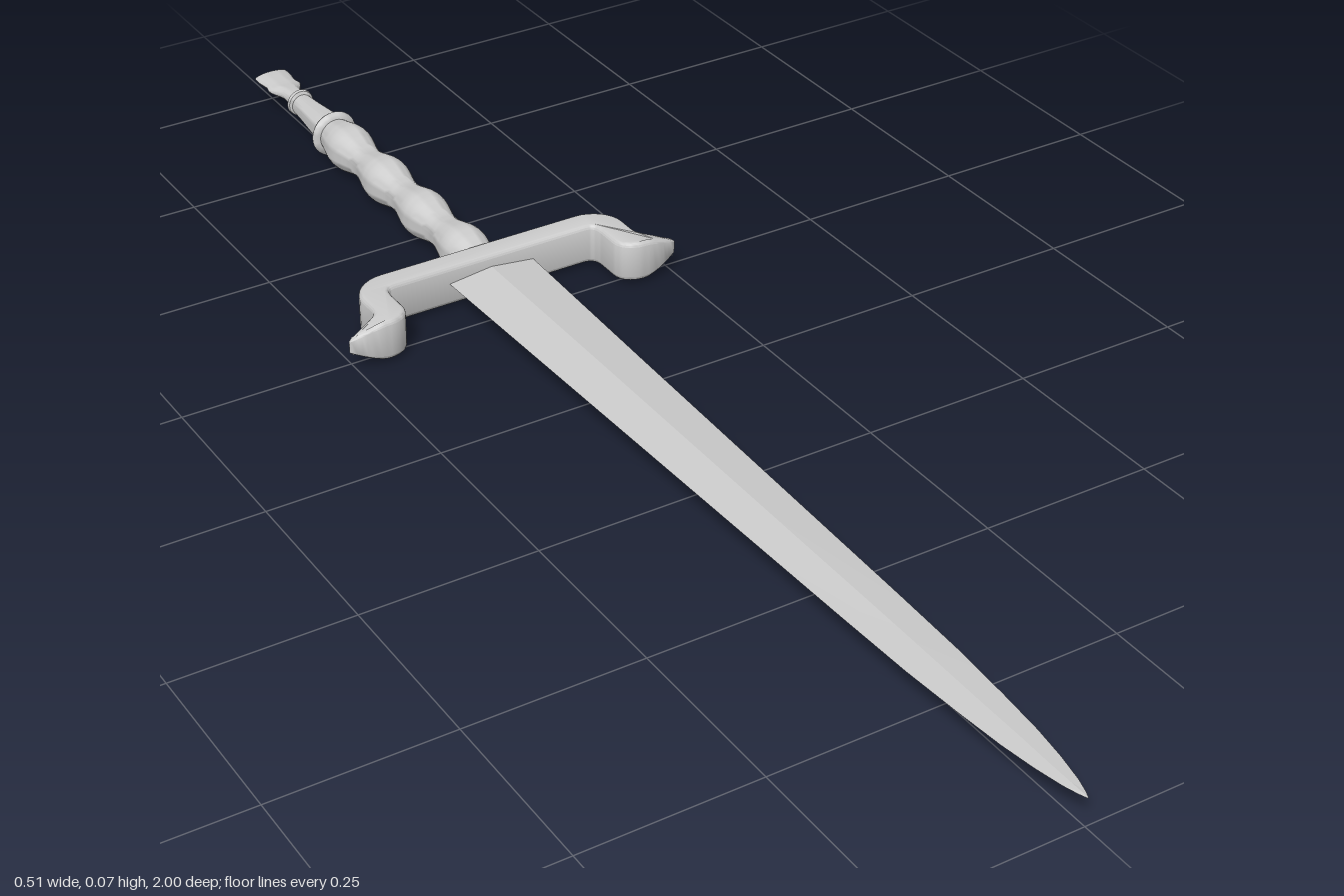
import * as THREE from 'three';
import { toCreasedNormals } from 'three/addons/utils/BufferGeometryUtils.js';

const grey = new THREE.MeshStandardMaterial({ color: 0xcccccc });
const AXIS_Y = 0.037;

function part(name, geometry, y = 0) {
  const mesh = new THREE.Mesh(geometry, grey);
  mesh.name = name;
  mesh.position.y = y;
  return mesh;
}

// Skin over rings running towards +z, each counter-clockwise seen from +z.
function loft(rings, crease) {
  const pos = [];
  const tri = (a, b, c) => pos.push(...a, ...b, ...c);
  const n = rings[0].length;
  for (let i = 0; i < rings.length - 1; i++) {
    for (let j = 0; j < n; j++) {
      const k = (j + 1) % n;
      const [a, b, c, d] = [rings[i][j], rings[i][k], rings[i + 1][j], rings[i + 1][k]];
      tri(a, b, c);
      tri(b, d, c);
    }
  }
  const last = rings[rings.length - 1];
  for (let j = 1; j < n - 1; j++) {
    tri(rings[0][0], rings[0][j + 1], rings[0][j]);
    tri(last[0], last[j], last[j + 1]);
  }
  const g = new THREE.BufferGeometry();
  g.setAttribute('position', new THREE.Float32BufferAttribute(pos, 3));
  g.computeVertexNormals();
  return toCreasedNormals(g, crease);
}

// Diamond-section blade, with the deeper ridge underneath
function blade() {
  const stations = [ // z, half width, top y, bottom y
    [-0.32, 0.067, 0.048, 0.018], [0, 0.058, 0.048, 0.023], [0.3, 0.05, 0.047, 0.029],
    [0.6, 0.042, 0.046, 0.034], [0.72, 0.038, 0.045, 0.036], [0.81, 0.032, 0.044, 0.038],
    [0.88, 0.026, 0.044, 0.039], [0.93, 0.019, 0.043, 0.04], [0.97, 0.011, 0.043, 0.041],
    [0.99, 0.005, 0.043, 0.041], [1, 0.001, 0.042, 0.041],
  ];
  return loft(stations.map(([z, w, top, bottom]) => {
    const edge = Math.min(0.04 + 0.002 * Math.max(z, 0), top);
    return [[w, edge, z], [0, top, z], [-w, edge, z], [0, bottom, z]];
  }), 0.06);
}

// Guard outline in plan, extruded through its height; the curled ends taper
function guard() {
  const s = new THREE.Shape(); // shape y is -z
  s.moveTo(-0.155, 0.343);
  s.lineTo(0.155, 0.343);
  s.bezierCurveTo(0.185, 0.343, 0.207, 0.32, 0.207, 0.295);
  s.lineTo(0.207, 0.267);
  s.bezierCurveTo(0.208, 0.25, 0.225, 0.251, 0.255, 0.241);
  s.bezierCurveTo(0.258, 0.24, 0.258, 0.237, 0.255, 0.236);
  s.bezierCurveTo(0.235, 0.229, 0.22, 0.225, 0.2, 0.225);
  s.bezierCurveTo(0.18, 0.226, 0.166, 0.238, 0.166, 0.255);
  s.lineTo(0.166, 0.285);
  s.bezierCurveTo(0.166, 0.3, 0.162, 0.306, 0.15, 0.306);
  const half = s.getPoints(8);
  const outline = [...half.slice(1), ...half.slice(1).reverse().map((p) => new THREE.Vector2(-p.x, p.y))];
  const bevel = 0.006;
  const g = new THREE.ExtrudeGeometry(new THREE.Shape(outline), {
    depth: 0.06 - 2 * bevel, bevelThickness: bevel, bevelSize: bevel, bevelOffset: -bevel,
    bevelSegments: 3, steps: 1,
  });
  g.translate(0, 0, -0.03 + bevel);
  g.rotateX(-Math.PI / 2);
  const p = g.attributes.position;
  for (let i = 0; i < p.count; i++) {
    const t = THREE.MathUtils.clamp((Math.abs(p.getX(i)) - 0.205) / 0.053, 0, 1);
    p.setY(i, p.getY(i) * (1 - 0.68 * Math.pow(t, 1.3)));
  }
  g.computeVertexNormals();
  return toCreasedNormals(g, 0.7);
}

// Turned profile (distance back along -z, radius)
function turned(points, crease = 0.7) {
  const g = new THREE.LatheGeometry(points.map(([d, r]) => new THREE.Vector2(r, d)), 32);
  g.rotateX(-Math.PI / 2);
  return toCreasedNormals(g, crease);
}

// Flat flared end of the handle
function finial() {
  const stations = [ // z, half width, half height
    [-1, 0.027, 0.007], [-0.985, 0.027, 0.008], [-0.965, 0.024, 0.008], [-0.952, 0.027, 0.008],
    [-0.943, 0.023, 0.009], [-0.93, 0.015, 0.011], [-0.9, 0.014, 0.013],
  ];
  return loft(stations.map(([z, w, h]) => Array.from({ length: 24 }, (_, j) => {
    const a = (j / 24) * Math.PI * 2;
    return [w * Math.cos(a), h * Math.sin(a), z];
  })), 0.7);
}

export function createModel() {
  const model = new THREE.Group();
  model.name = 'sword';
  model.add(part('blade', blade()));
  model.add(part('guard', guard(), 0.036));

  // Grip with four swells
  const grip = [[0.32, 0]];
  for (let i = 0; i <= 60; i++) {
    const d = 0.325 + (0.455 * i) / 60;
    grip.push([d, 0.03 + 0.005 * Math.cos(((d - 0.385) / 0.1165) * Math.PI * 2)]);
  }
  grip.push([0.782, 0]);
  model.add(part('grip', turned(grip), AXIS_Y));

  model.add(part('collar', turned([
    [0.778, 0], [0.778, 0.026], [0.781, 0.033], [0.786, 0.036], [0.791, 0.033], [0.794, 0.026], [0.794, 0],
  ]), AXIS_Y));
  model.add(part('neck', turned([
    [0.785, 0], [0.785, 0.025], [0.82, 0.023], [0.86, 0.019], [0.9, 0.016], [0.905, 0],
  ]), 0.038));
  model.add(part('smallCollar', turned([
    [0.892, 0], [0.892, 0.016], [0.895, 0.02], [0.9, 0.021], [0.904, 0.018], [0.906, 0.014], [0.906, 0],
  ]), 0.039));
  model.add(part('finial', finial(), 0.041));
  return model;
}
